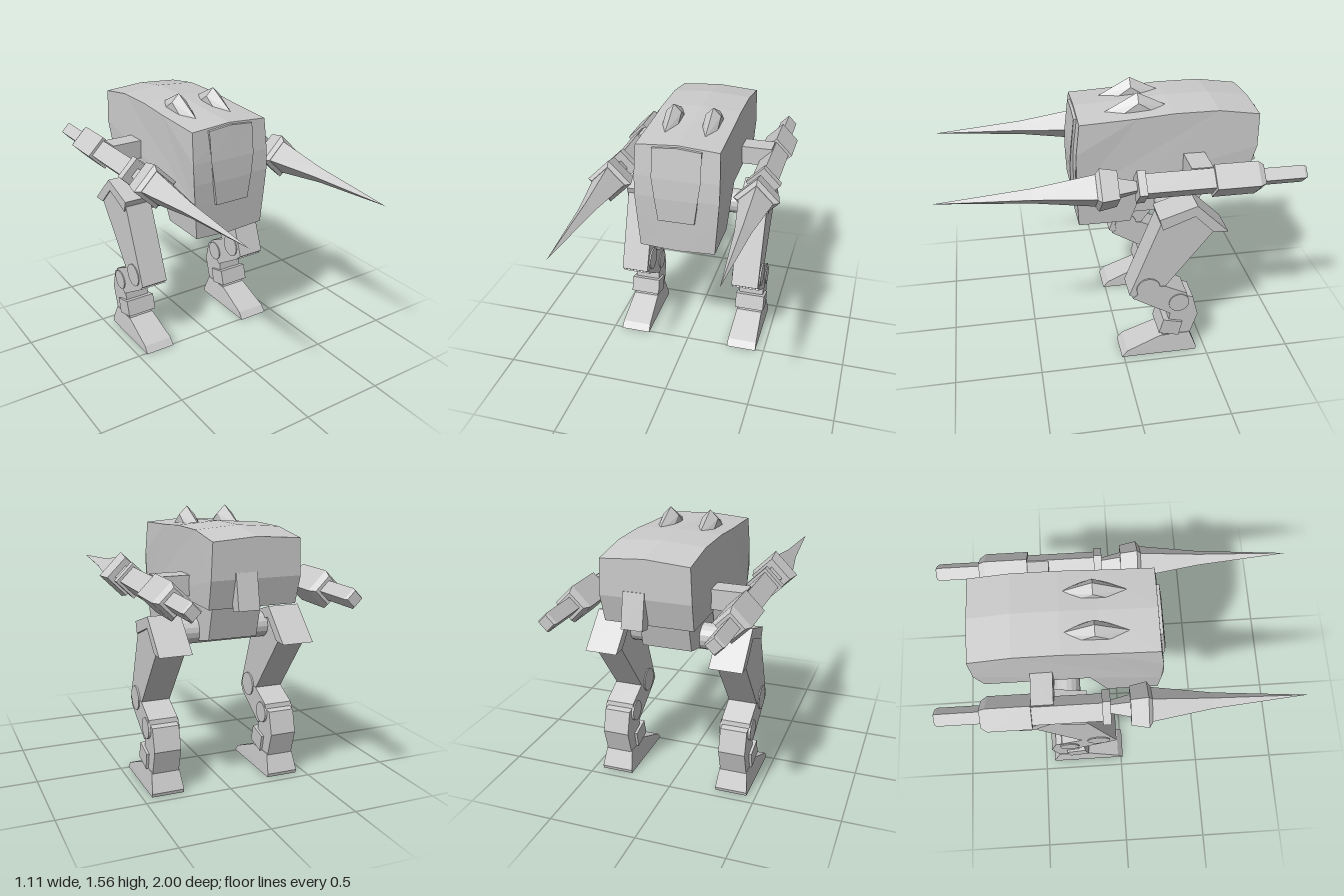
import * as THREE from 'three';
import { ConvexGeometry } from 'three/addons/geometries/ConvexGeometry.js';

const grey = new THREE.MeshStandardMaterial({ color: 0xcccccc, flatShading: true });

function add(parent, name, geometry) {
  const mesh = new THREE.Mesh(geometry, grey);
  mesh.name = name;
  parent.add(mesh);
  return mesh;
}

// Extrudes a side outline of [z, y] points from x0 to x1
function slab(outline, x0, x1, steps = 1) {
  const shape = new THREE.Shape(outline.map(([z, y]) => new THREE.Vector2(-z, y)));
  const geo = new THREE.ExtrudeGeometry(shape, { depth: x1 - x0, steps, bevelEnabled: false });
  return geo.rotateY(Math.PI / 2).translate(x0, 0, 0);
}

// Moves every vertex by a rule
function bend(geo, rule) {
  const p = geo.attributes.position;
  const v = new THREE.Vector3();
  for (let i = 0; i < p.count; i++) {
    rule(v.fromBufferAttribute(p, i));
    p.setXYZ(i, v.x, v.y, v.z);
  }
  geo.computeVertexNormals();
  return geo;
}

// Four-sided turned part along z, from [radius, z] points with rising z
function diamond(profile) {
  return new THREE.LatheGeometry(profile.map(([r, z]) => new THREE.Vector2(r, z)), 4).rotateX(Math.PI / 2);
}

// Disc or axle along x
function axle(r, x0, x1, y, z) {
  return new THREE.CylinderGeometry(r, r, x1 - x0, 16).rotateZ(Math.PI / 2).translate((x0 + x1) / 2, y, z);
}

function makeBody() {
  const body = new THREE.Group();
  body.name = 'body';

  // Hull: crowned on top, narrowing above and below its waist
  const hull = slab([
    [0.215, 1.445], [0.235, 1.27], [0.24, 1.15], [0.235, 1.02], [0.225, 0.82], [-0.07, 0.82],
    [-0.16, 1.1], [-0.74, 1.1], [-0.78, 1.25], [-0.78, 1.44], [-0.55, 1.475], [-0.3, 1.475], [-0.1, 1.46],
  ], -1, 1, 2);
  add(body, 'hull', bend(hull, (v) => {
    if (Math.abs(v.x) < 0.5) v.y += v.y > 1.4 ? 0.017 : v.y < 0.85 ? -0.012 : 0;
    v.x *= v.y > 1.2 ? 0.247 - 0.04 * (v.y - 1.2) : 0.247 - 0.07 * (1.2 - v.y);
  }));

  // Raised front panel, tapering downwards
  const panel = slab([
    [0.232, 1.44], [0.252, 1.27], [0.257, 1.15], [0.252, 1.01], [0.2, 1.01], [0.2, 1.44],
  ], -1, 1, 2);
  add(body, 'frontPanel', bend(panel, (v) => {
    if (Math.abs(v.x) < 0.5 && v.y > 1.4) v.y += 0.012;
    v.x *= v.y > 1.27 ? 0.14 : 0.14 - 0.135 * (1.27 - v.y);
  }));

  // Pointed roof fins
  for (const x of [-0.115, 0.115]) {
    const points = [[0, 1.455, 0.07], [0, 1.455, -0.33], [0, 1.56, -0.12]];
    for (const s of [-0.045, 0.045]) {
      points.push([s, 1.44, -0.01], [s, 1.44, -0.24], [s, 1.515, -0.12]);
    }
    const fin = new ConvexGeometry(points.map((p) => new THREE.Vector3(...p)));
    add(body, 'roofFin', fin.translate(x, 0, 0));
  }

  // Off-centre box on the back
  const box = add(body, 'rearBox', new THREE.BoxGeometry(0.115, 0.19, 0.07));
  box.position.set(0.058, 1.185, -0.77);
  box.rotation.x = 0.2;

  // Pelvis and hip axle
  add(body, 'pelvis', slab([
    [-0.1, 0.83], [-0.17, 1.11], [-0.56, 1.11], [-0.5, 0.88], [-0.3, 0.83],
  ], -0.14, 0.14));
  add(body, 'hipAxle', axle(0.075, -0.3, 0.3, 0.895, -0.3));
  return body;
}

function makeLance(side) {
  const lance = new THREE.Group();
  lance.name = side < 0 ? 'rightLance' : 'leftLance';
  add(lance, 'spike', diamond([[0, 0.12], [0.103, 0.12], [0.045, 0.49], [0, 1]]));
  add(lance, 'collar', diamond([[0, 0.045], [0.11, 0.045], [0.13, 0.14], [0.1, 0.16], [0, 0.16]]));
  add(lance, 'neck', diamond([[0, -0.07], [0.035, -0.07], [0.065, 0.05], [0, 0.05]]));
  add(lance, 'ring', diamond([[0, -0.105], [0.1, -0.105], [0.1, -0.06], [0, -0.06]]));
  add(lance, 'shaft', diamond([[0, -0.5], [0.078, -0.5], [0.078, -0.1], [0, -0.1]]));
  add(lance, 'housing', diamond([[0, -0.755], [0.075, -0.755], [0.1, -0.72], [0.1, -0.48], [0, -0.48]]));
  add(lance, 'tailTube', diamond([[0, -1], [0.042, -1], [0.052, -0.985], [0.052, -0.75], [0, -0.75]]));
  lance.position.set(side * 0.427, 1.155, 0);
  return lance;
}

function makeArm(side) {
  const arm = slab([[-0.36, 1.125], [-0.48, 1.125], [-0.48, 1.235], [-0.36, 1.235]], -0.1, 0.1);
  return arm.translate(side * 0.32, 0, 0);
}

function makeLeg(side) {
  const leg = new THREE.Group();
  leg.name = side < 0 ? 'rightLeg' : 'leftLeg';
  // Parts are centred on the leg's own x = 0
  add(leg, 'hipCover', slab([
    [-0.19, 0.945], [-0.4, 1.015], [-0.585, 0.835], [-0.5, 0.84], [-0.39, 0.95], [-0.21, 0.88],
  ], -0.092, 0.092));
  add(leg, 'thigh', slab([
    [-0.2, 0.91], [-0.39, 0.98], [-0.505, 0.84], [-0.24, 0.49], [-0.07, 0.42], [-0.03, 0.45],
  ], -0.085, 0.08));
  add(leg, 'knee', axle(0.07, -0.091, 0.089, 0.485, -0.14));
  add(leg, 'shin', slab([
    [-0.05, 0.425], [-0.14, 0.5], [-0.24, 0.49], [-0.37, 0.425], [-0.38, 0.37], [-0.28, 0.285],
  ], -0.083, 0.083));
  add(leg, 'ankleDisc', axle(0.06, -0.09, 0.09, 0.365, -0.325));
  add(leg, 'ankle', slab([
    [-0.28, 0.32], [-0.37, 0.4], [-0.41, 0.39], [-0.445, 0.26], [-0.4, 0.11], [-0.23, 0.11], [-0.27, 0.24],
  ], -0.077, 0.077));
  add(leg, 'ankleGuard', slab([
    [-0.235, 0.25], [-0.35, 0.22], [-0.33, 0.125], [-0.21, 0.155],
  ], -0.092, 0.092));

  // Foot, narrower at the top
  const foot = slab([
    [0.012, 0], [-0.02, 0.04], [-0.22, 0.125], [-0.4, 0.13], [-0.445, 0.02], [-0.44, 0],
  ], -0.093, 0.093);
  add(leg, 'foot', bend(foot, (v) => { v.x *= 1 - 1.2 * Math.max(0, v.y - 0.02); }));
  leg.position.x = side * 0.355;
  return leg;
}

export function createModel() {
  const model = new THREE.Group();
  model.name = 'walker';
  model.add(makeBody());
  for (const side of [-1, 1]) {
    add(model, 'arm', makeArm(side));
    model.add(makeLance(side), makeLeg(side));
  }
  return model;
}
